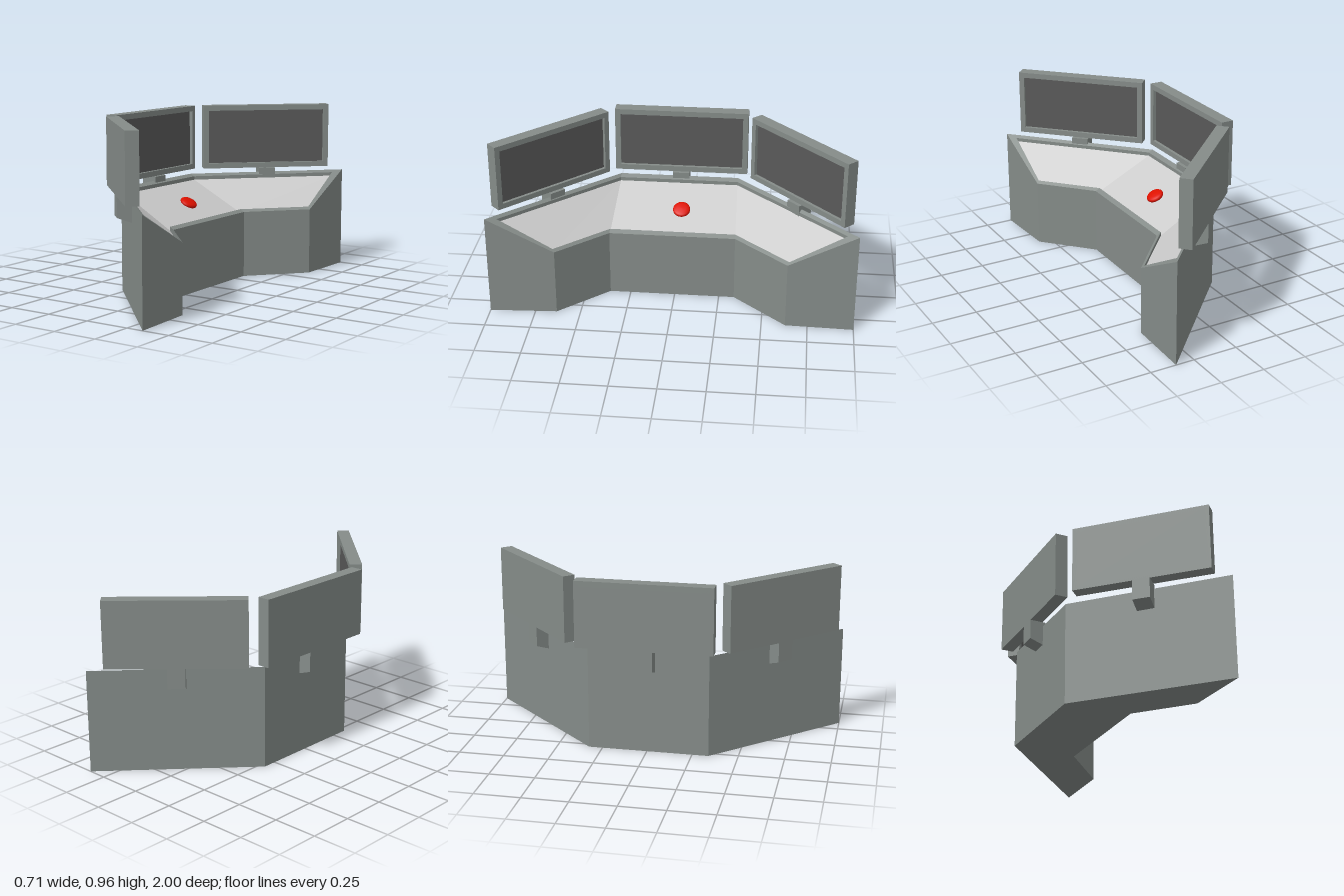
import * as THREE from 'three';

const paint = (color) => new THREE.MeshStandardMaterial({ color, flatShading: true });
const bodyMat = paint(0x858c89);
const screenMat = paint(0x5a5a5a);
const panelMat = paint(0xcccccc);
const redMat = paint(0xdd1100);
redMat.flatShading = false;

// Mesh from a list of quads, corners counter-clockwise seen from outside
function quadMesh(name, quads, material) {
  const pos = quads.flatMap(([a, b, c, d]) => [a, b, c, a, c, d].flatMap((p) => p.toArray()));
  const geo = new THREE.BufferGeometry();
  geo.setAttribute('position', new THREE.Float32BufferAttribute(pos, 3));
  geo.computeVertexNormals();
  const mesh = new THREE.Mesh(geo, material);
  mesh.name = name;
  return mesh;
}

// Desk: three-section wraparound console with a sloped, recessed top
const HIGH = 0.57, LOW = 0.375, RECESS = 0.02;
const outer = [[0.355, -1], [-0.285, -0.325], [-0.285, 0.34], [0.345, 1]]
  .map(([x, z]) => new THREE.Vector3(x, HIGH, z));
const inner = [[0.345, -0.63], [0.08, -0.335], [0.08, 0.365], [0.325, 0.632]]
  .map(([x, z]) => new THREE.Vector3(x, LOW, z));

// Point on the top: s runs along the desk, t from the high edge to the low edge
function topPoint(s, t) {
  const k = Math.min(2, Math.floor(s));
  const along = (row) => row[k].clone().lerp(row[k + 1], s - k);
  return along(outer).lerp(along(inner), t);
}

function createDesk() {
  const ring = (stations, t0, t1) => [
    ...stations.map((s) => topPoint(s, t0)),
    ...[...stations].reverse().map((s) => topPoint(s, t1)),
  ];
  const edge = ring([0, 1, 2, 3], 0, 1);
  const lip = ring([0.055, 1, 2, 2.945], 0.07, 0.93);
  const floor = edge.map((p) => new THREE.Vector3(p.x, 0, p.z));
  const bed = lip.map((p) => new THREE.Vector3(p.x, p.y - RECESS, p.z));

  const walls = [], rim = [], base = [], panel = [];
  for (let i = 0; i < 8; i++) {
    const j = (i + 1) % 8;
    walls.push([floor[i], floor[j], edge[j], edge[i]]);
    rim.push([edge[i], edge[j], lip[j], lip[i]]);
    rim.push([bed[j], bed[i], lip[i], lip[j]]);
  }
  for (let k = 0; k < 3; k++) {
    panel.push([bed[k], bed[k + 1], bed[6 - k], bed[7 - k]]);
    base.push([floor[7 - k], floor[6 - k], floor[k + 1], floor[k]]);
  }
  const desk = new THREE.Group();
  desk.name = 'desk';
  desk.add(
    quadMesh('deskWalls', walls, bodyMat),
    quadMesh('deskRim', rim, bodyMat),
    quadMesh('deskBase', base, bodyMat),
    quadMesh('controlPanel', panel, panelMat),
  );
  return desk;
}

// Monitor facing local +z: recessed screen in a deep frame, on a bracket behind the desk
const W = 0.75, H = 0.37, D = 0.07, BEZEL = 0.03, INSET = 0.018;

function createMonitor(name, x, z, turn) {
  const rect = (shape, w, h) => shape
    .moveTo(-w / 2, -h / 2).lineTo(w / 2, -h / 2).lineTo(w / 2, h / 2).lineTo(-w / 2, h / 2).closePath();
  const group = new THREE.Group();
  group.name = name;
  const add = (part, geo, mat) => {
    const mesh = new THREE.Mesh(geo, mat);
    mesh.name = part;
    group.add(mesh);
    return mesh;
  };

  const shape = new THREE.Shape();
  rect(shape, W, H);
  const hole = new THREE.Path();
  rect(hole, W - 2 * BEZEL, H - 2 * BEZEL);
  shape.holes.push(hole);
  add('monitorFrame', new THREE.ExtrudeGeometry(shape, { depth: D, bevelEnabled: false }), bodyMat)
    .position.z = -D / 2;
  add('monitorBack', new THREE.PlaneGeometry(W, H).rotateY(Math.PI), bodyMat).position.z = -D / 2;
  add('screen', new THREE.PlaneGeometry(W - 2 * BEZEL, H - 2 * BEZEL), screenMat)
    .position.z = D / 2 - INSET;

  // Bracket side profile with a slanted underside, reaching into the desk wall
  const profile = new THREE.Shape([
    [-D / 2, -H / 2], [-D / 2, -H / 2 - 0.11], [D / 2 + 0.02, -H / 2 - 0.142], [D / 2 + 0.02, -H / 2],
  ].map(([px, py]) => new THREE.Vector2(px, py)));
  const bracket = new THREE.ExtrudeGeometry(profile, { depth: 0.095, bevelEnabled: false });
  bracket.translate(0, 0, -0.0475).rotateY(-Math.PI / 2);
  add('monitorBracket', bracket, bodyMat);

  group.position.set(x, 0.78, z);
  group.rotation.y = turn;
  return group;
}

// Red push button lying on the slope of the middle panel
function createButton() {
  const profile = [[0, -0.012], [0.042, -0.012], [0.048, -0.004], [0.048, 0.004], [0.042, 0.011], [0.025, 0.015], [0, 0.016]]
    .map(([r, y]) => new THREE.Vector2(r, y));
  const button = new THREE.Mesh(new THREE.LatheGeometry(profile, 32), redMat);
  button.name = 'redButton';
  button.position.set(-0.09, 0.455, -0.023);
  button.rotation.z = -Math.atan2(HIGH - LOW, 0.365);
  return button;
}

export function createModel() {
  const model = new THREE.Group();
  model.name = 'controlConsole';
  model.add(
    createDesk(),
    createMonitor('middleMonitor', -0.324, -0.003, Math.PI / 2),
    createMonitor('leftMonitor', -0.008, 0.692, Math.PI * 0.75),
    createMonitor('rightMonitor', 0.006, -0.685, Math.PI * 0.243),
    createButton(),
  );
  return model;
}
